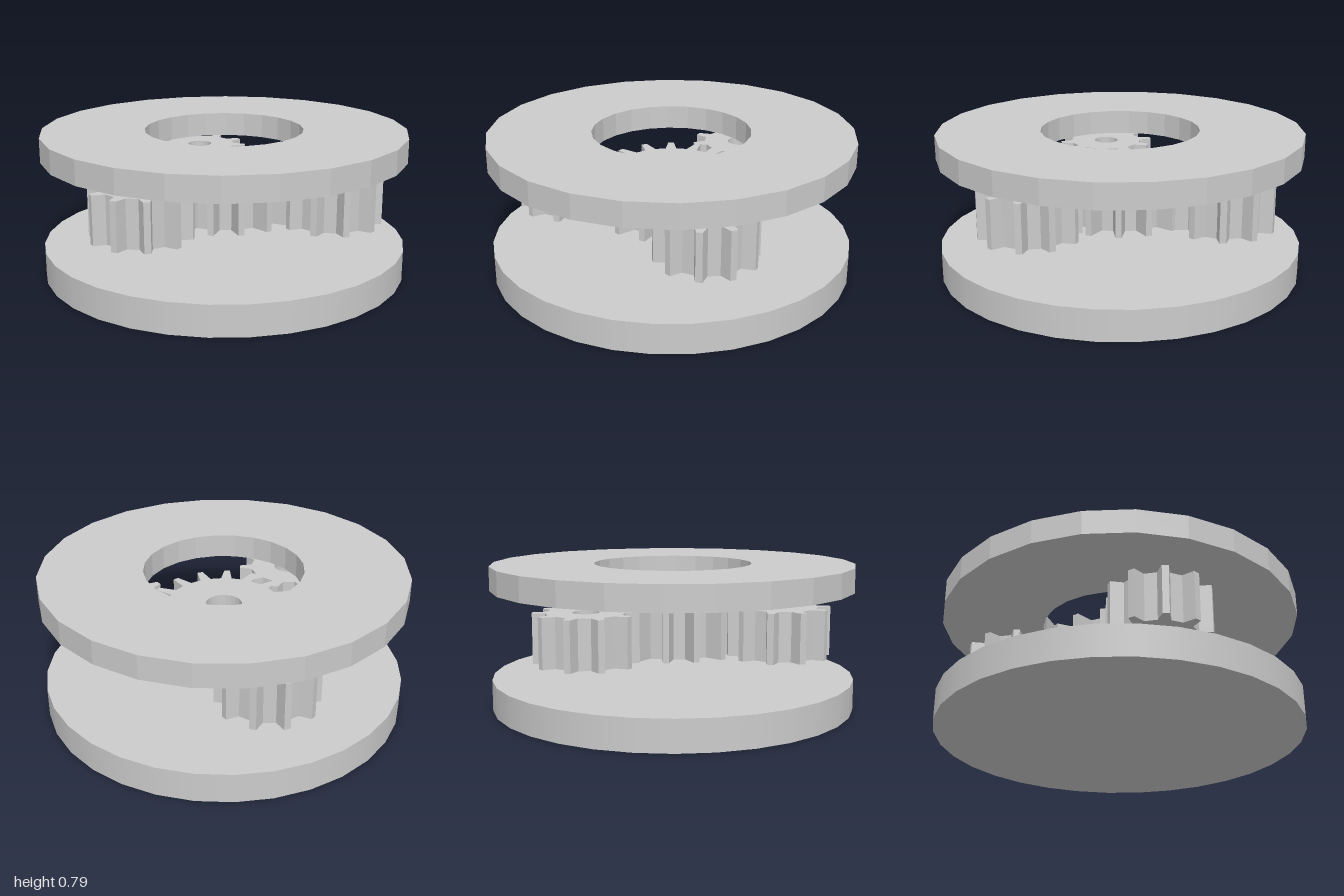
import * as THREE from 'three';

const material = new THREE.MeshStandardMaterial({ color: 0xcccccc });

// Extrude a plan outline upwards from y0 to y1
function plate(name, shape, y0, y1) {
  const geometry = new THREE.ExtrudeGeometry(shape, {
    depth: y1 - y0, bevelEnabled: false, curveSegments: 12,
  });
  geometry.rotateX(-Math.PI / 2);
  geometry.translate(0, y0, 0);
  const mesh = new THREE.Mesh(geometry, material);
  mesh.name = name;
  return mesh;
}

function addHole(shape, radius) {
  shape.holes.push(new THREE.Path().absarc(0, 0, radius, 0, Math.PI * 2, true));
}

// Spur gear: each pitch holds one tapered tooth and one gap
function gear(name, teeth, pitchRadius, boreRadius) {
  const root = pitchRadius * 0.87;
  const tip = pitchRadius * 1.15;
  const tooth = [[0, root], [0.15, tip], [0.35, tip], [0.5, root]];
  const points = [];
  for (let i = 0; i < teeth; i++) {
    for (const [t, r] of tooth) {
      const a = ((i + t) / teeth) * Math.PI * 2;
      points.push(new THREE.Vector2(r * Math.cos(a), r * Math.sin(a)));
    }
  }
  const shape = new THREE.Shape(points);
  addHole(shape, boreRadius);
  return plate(name, shape, 0.305, 0.57);
}

export function createModel() {
  const model = new THREE.Group();
  model.name = 'planetaryGearSet';

  // Solid base disc
  const base = new THREE.Mesh(new THREE.CylinderGeometry(1, 1, 0.167, 32), material);
  base.position.y = 0.0835;
  base.name = 'baseDisc';
  model.add(base);

  // Central gear with three planets around it
  model.add(gear('sunGear', 16, 0.36, 0.1));
  for (let i = 0; i < 3; i++) {
    const planet = gear(`planetGear${i + 1}`, 10, 0.24, 0.07);
    const a = (i / 3) * Math.PI * 2;
    planet.position.set(0.6 * Math.cos(a), 0, 0.6 * Math.sin(a));
    model.add(planet);
  }

  // Faceted cover ring
  const ring = new THREE.Shape().absarc(0, 0, 1, 0, Math.PI * 2, false);
  addHole(ring, 0.435);
  model.add(plate('coverRing', ring, 0.655, 0.787));

  return model;
}
